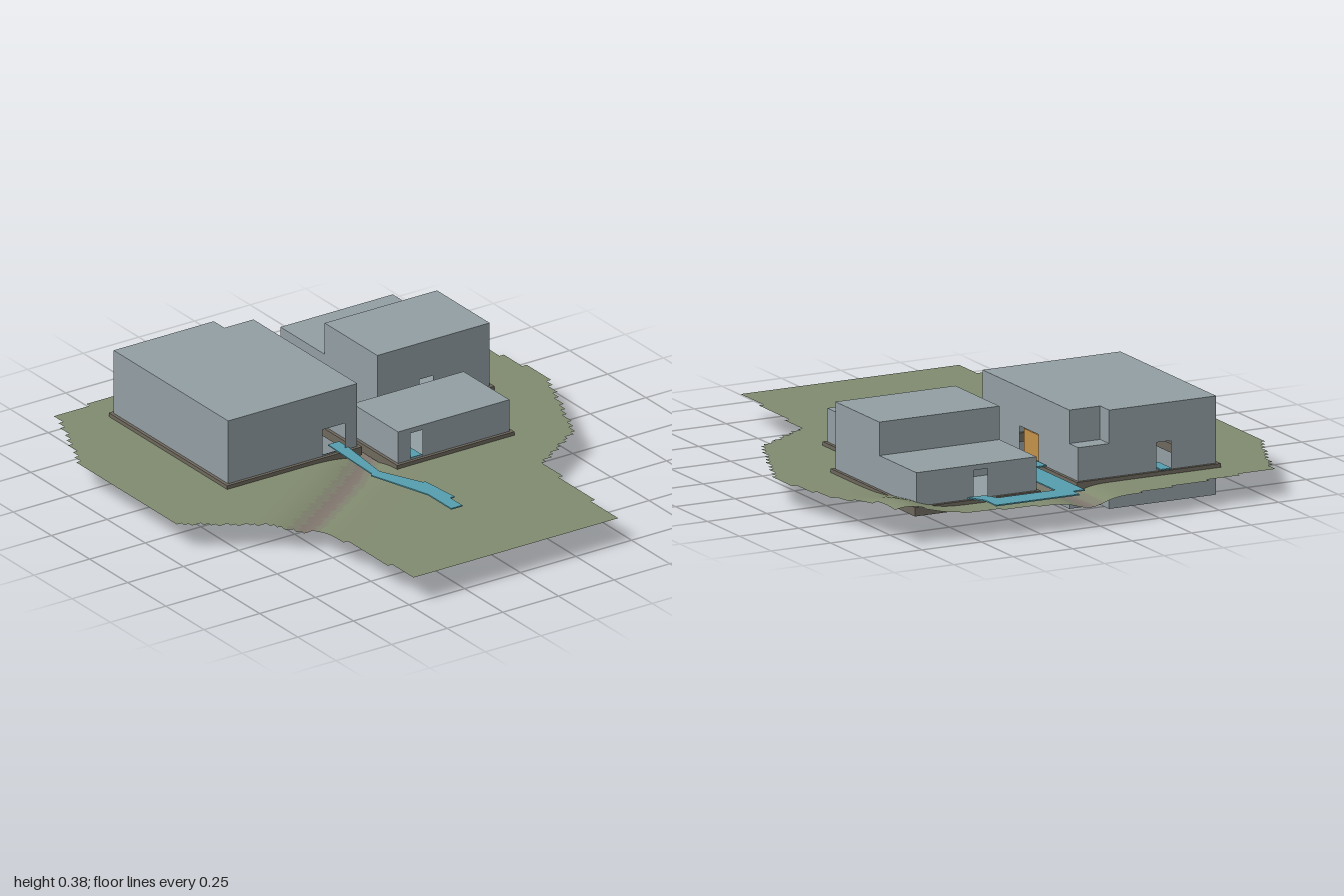
import * as THREE from 'three';

const mat = (name, color) => new THREE.MeshStandardMaterial({ name, color, side: THREE.DoubleSide });

const wallGrey = mat('wall grey', 0x94a0a5);
const grass = mat('grass green', 0x828c70);
const grassWorn = mat('worn grass', 0x818270);
const gravel = mat('gully gravel', 0x81786f);
const pathBlue = mat('path blue', 0x56a0b0);
const plinthBrown = mat('plinth brown', 0x6f695e);
const stairOrange = mat('stair orange', 0xc4924a);

const add = (parent, name, geometry, material) => {
  const m = new THREE.Mesh(geometry, material);
  m.name = name;
  parent.add(m);
  return m;
};

// Shape on the ground plan from [x, z] points
const planShape = pts => new THREE.Shape(pts.map(([x, z]) => new THREE.Vector2(x, -z)));
const flat = (pts, y) =>
  new THREE.ShapeGeometry(planShape(pts)).rotateX(-Math.PI / 2).translate(0, y, 0);
const slab = (shape, y, h) =>
  new THREE.ExtrudeGeometry(shape, { depth: h, bevelEnabled: false })
    .rotateX(-Math.PI / 2).translate(0, y, 0);
const rect = (x0, x1, z0, z1) => [[x0, z1], [x1, z1], [x1, z0], [x0, z0]];

const DOOR_BOTTOM = 0.132, DOOR_TOP = 0.235;

// Hollow block: walls along a footprint, with optional door openings per wall
function block(parent, name, pts, y0, y1, doors = {}) {
  const g = new THREE.Group();
  g.name = name;
  pts.forEach(([x, z], i) => {
    const [x2, z2] = pts[(i + 1) % pts.length];
    const dir = new THREE.Vector3(x2 - x, 0, z2 - z);
    const len = dir.length();
    const shape = new THREE.Shape(rect(0, len, y0, y1).map(p => new THREE.Vector2(...p)));
    if (doors[i]) {
      const [a, b] = doors[i];
      shape.holes.push(new THREE.Path(
        rect(a, b, DOOR_BOTTOM, DOOR_TOP).map(p => new THREE.Vector2(...p))));
    }
    const wall = add(g, 'wall', new THREE.ShapeGeometry(shape), wallGrey);
    wall.position.set(x, 0, z);
    wall.rotation.y = Math.atan2(-dir.z, dir.x);
  });
  add(g, 'roof', flat(pts, y1), wallGrey);
  add(g, 'floor', flat(pts, y0), wallGrey);
  parent.add(g);
}

// Hollow plinth frame around a building
function plinth(parent, [x0, x1, z0, z1]) {
  const o = 0.013;
  const shape = planShape(rect(x0 - o, x1 + o, z0 - o, z1 + o));
  shape.holes.push(planShape(rect(x0 + o, x1 - o, z0 + o, z1 - o)));
  add(parent, 'plinth', slab(shape, 0.092, 0.034), plinthBrown);
}

const sites = [
  [-0.6, -0.02, -0.79, -0.04],
  [0.18, 0.685, -0.835, -0.2],
  [0.02, 0.52, -0.13, 0.17],
];

const outline = [[-0.77, -0.91], [-0.1, -1], [0.18, -1], [0.81, -0.915], [0.84, -0.7], [0.89, -0.42],
  [0.93, -0.2], [0.82, 0.08], [0.73, 0.28], [0.48, 0.45], [0.435, 1], [-0.48, 1],
  [-0.525, 0.41], [-0.94, 0.12], [-0.94, -0.51]];

// Gully course across the site
const gully = [[-0.56, 0.4], [-0.2, 0.16], [0, 0], [0.04, -0.35], [0.04, -1]];

function inside(x, z) {
  let hit = false;
  outline.forEach(([ax, az], i) => {
    const [bx, bz] = outline[(i + 1) % outline.length];
    if ((az > z) !== (bz > z) && x < ax + (bx - ax) * (z - az) / (bz - az)) hit = !hit;
  });
  return hit;
}

function gullyDistance(x, z) {
  let best = 9;
  for (let i = 0; i < gully.length - 1; i++) {
    const [ax, az] = gully[i], dx = gully[i + 1][0] - ax, dz = gully[i + 1][1] - az;
    const t = Math.min(1, Math.max(0, ((x - ax) * dx + (z - az) * dz) / (dx * dx + dz * dz)));
    best = Math.min(best, Math.hypot(x - ax - t * dx, z - az - t * dz));
  }
  return best;
}

// Level ground with a shallow gully and a low mound
function height(x, z) {
  const dip = 0.03 * Math.exp(-((gullyDistance(x, z) / 0.08) ** 2));
  const mound = 0.048 * Math.exp(-(((x - 0.77) / 0.13) ** 2) - ((z + 0.85) / 0.22) ** 2);
  return 0.111 - dip + mound;
}

function terrain() {
  const n = 100, s = 2 / n;
  const pos = [], lists = [[], [], []];
  for (let j = 0; j <= n; j++)
    for (let i = 0; i <= n; i++) {
      const x = -1 + i * s, z = -1 + j * s;
      pos.push(x, height(x, z), z);
    }
  for (let j = 0; j < n; j++)
    for (let i = 0; i < n; i++) {
      const x = -1 + (i + 0.5) * s, z = -1 + (j + 0.5) * s;
      const built = sites.some(([x0, x1, z0, z1]) => x > x0 && x < x1 && z > z0 && z < z1);
      if (built || !inside(x, z)) continue;
      const d = gullyDistance(x, z);
      const a = j * (n + 1) + i, b = a + n + 1;
      lists[d < 0.025 ? 2 : d < 0.06 ? 1 : 0].push(a, b, a + 1, a + 1, b, b + 1);
    }
  const geo = new THREE.BufferGeometry();
  geo.setAttribute('position', new THREE.Float32BufferAttribute(pos, 3));
  geo.setIndex(lists.flat());
  let start = 0;
  lists.forEach((l, k) => { geo.addGroup(start, l.length, k); start += l.length; });
  geo.computeVertexNormals();
  return geo;
}

export function createModel() {
  const model = new THREE.Group();
  model.name = 'building site';

  add(model, 'ground', terrain(), [grass, grassWorn, gravel]);
  sites.forEach(s => plinth(model, s));

  // Large hall with a basement and a lower corner bay
  block(model, 'mainHall',
    [[-0.6, -0.04], [-0.02, -0.04], [-0.02, -0.72], [-0.15, -0.72], [-0.15, -0.79], [-0.6, -0.79]],
    0.005, 0.383, { 0: [0.425, 0.525], 1: [0.29, 0.44], 4: [0.2, 0.26] });
  block(model, 'cornerBay', rect(-0.15, -0.02, -0.79, -0.72), 0.126, 0.255);

  // Side house: tall front part, low rear part
  block(model, 'sideHouseFront', rect(0.18, 0.685, -0.545, -0.2), 0.126, 0.383, { 0: [0.19, 0.25] });
  block(model, 'sideHouseRear', rect(0.18, 0.685, -0.835, -0.545), 0.126, 0.255, { 2: [0.24, 0.3] });

  // Small front house
  block(model, 'frontHouse', rect(0.02, 0.52, -0.13, 0.17), 0.126, 0.255,
    { 0: [0.055, 0.11], 2: [0.24, 0.3] });

  // Stairs inside the hall
  for (let i = 0; i < 6; i++) {
    const h = 0.02 * (i + 1);
    add(model, 'stairStep', new THREE.BoxGeometry(0.031, h, 0.1), stairOrange)
      .position.set(-0.285 + i * 0.031, 0.008 + h / 2, -0.405);
  }
  add(model, 'stairLanding', new THREE.BoxGeometry(0.08, 0.215, 0.14), stairOrange)
    .position.set(-0.075, 0.117, -0.405);

  // Walkways
  const paths = {
    frontPath: [[-0.11, -0.1], [-0.06, -0.1], [-0.06, -0.04], [-0.085, 0.2], [-0.005, 0.37], [0.005, 0.37],
      [0.02, 0.54], [0, 0.54], [0, 0.62], [-0.05, 0.62], [-0.05, 0.47], [-0.13, 0.21], [-0.12, 0.2]],
    rearPath: [[-0.015, -0.55], [0.03, -0.55], [0.03, -0.935], [0.08, -0.935], [0.08, -0.985], [0.43, -0.985],
      [0.43, -0.9], [0.47, -0.835], [0.4, -0.835], [0.37, -0.89], [0.13, -0.89], [0.13, -0.51],
      [0.08, -0.5], [0.09, -0.47], [0.18, -0.43], [0.18, -0.32], [0.12, -0.345], [0.17, -0.28],
      [0.2, -0.21], [0.29, -0.13], [0.23, -0.13], [0.005, -0.4], [-0.015, -0.4]],
    gapPath: [[-0.015, -0.4], [0.005, -0.4], [0.06, -0.135], [0.02, -0.135], [-0.015, -0.25]],
    sideDoorPath: [[0.35, -0.22], [0.43, -0.22], [0.43, -0.19], [0.41, -0.17]],
    frontHousePath: rect(0.08, 0.128, -0.1, 0.168),
    backDoorPath: rect(-0.405, -0.36, -0.805, -0.7),
  };
  for (const [name, pts] of Object.entries(paths))
    add(model, name, slab(planShape(pts), 0.129, 0.005), pathBlue);

  return model;
}
